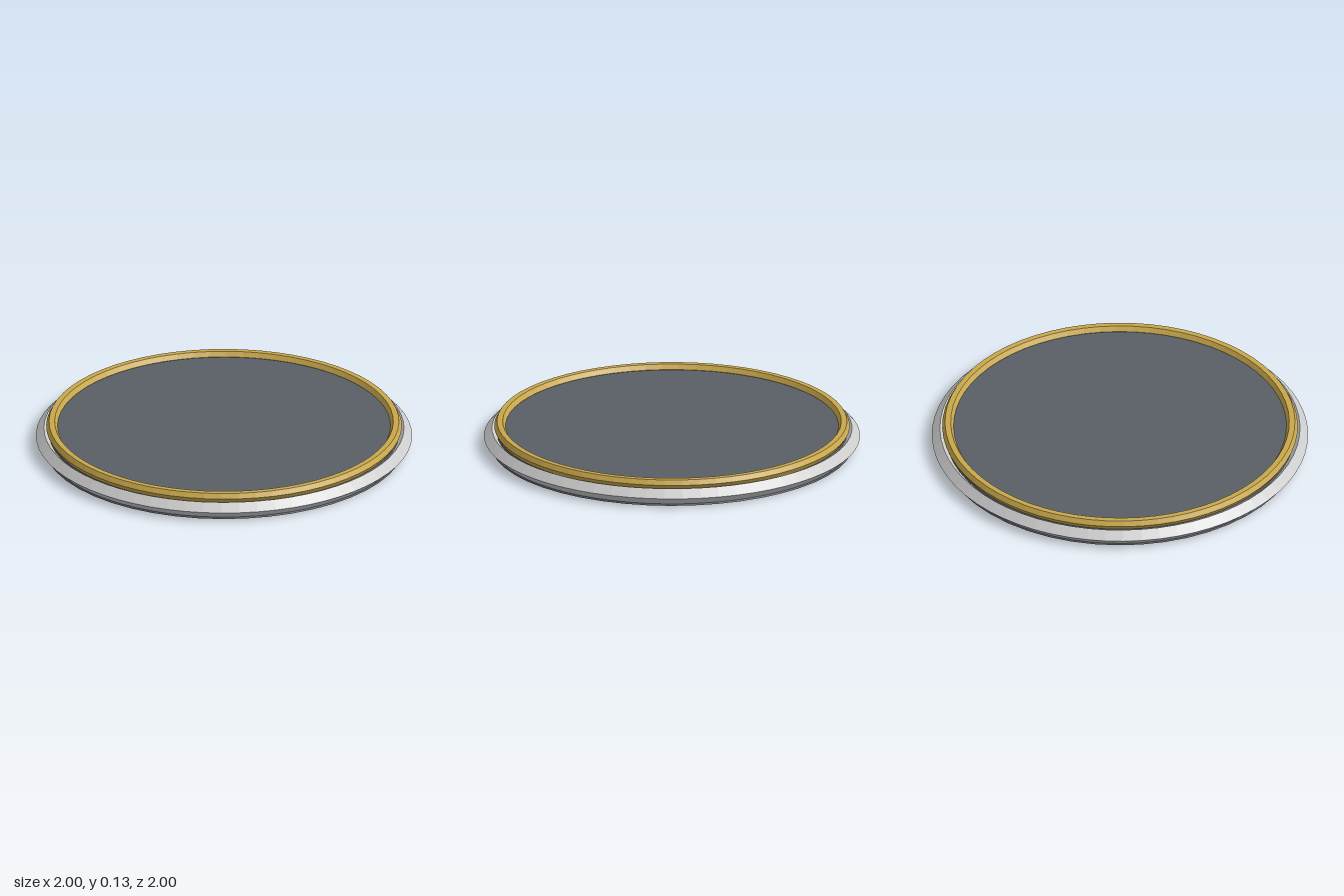
import * as THREE from 'three';

export function createModel() {
  const model = new THREE.Group();
  const material = (name, color) => {
    const m = new THREE.MeshStandardMaterial({ color, flatShading: true });
    m.name = name;
    return m;
  };
  const slate = material('slate', 0x5a5e66);
  const silver = material('silver', 0xcccccc);
  const gold = material('gold', 0xc9a84c);

  const add = (name, geometry, mat, y) => {
    const mesh = new THREE.Mesh(geometry, mat);
    mesh.name = name;
    mesh.position.y = y;
    model.add(mesh);
  };
  // Ring lying flat, with a faceted cross-section
  const ring = (radius, tube, sides) =>
    new THREE.TorusGeometry(radius, tube, sides, 64).rotateX(-Math.PI / 2);

  // Tapered disc: its top face is the plate, its underside the foot
  const height = 0.107;
  add('disc', new THREE.CylinderGeometry(0.915, 0.96, height, 48), slate, height / 2);

  // Diamond-section outer rim
  add('outerRim', ring(0.957, 0.043, 4), silver, 0.053);

  // Hexagonal-section raised trim
  add('innerTrim', ring(0.915, 0.03, 6), gold, 0.109);

  return model;
}
